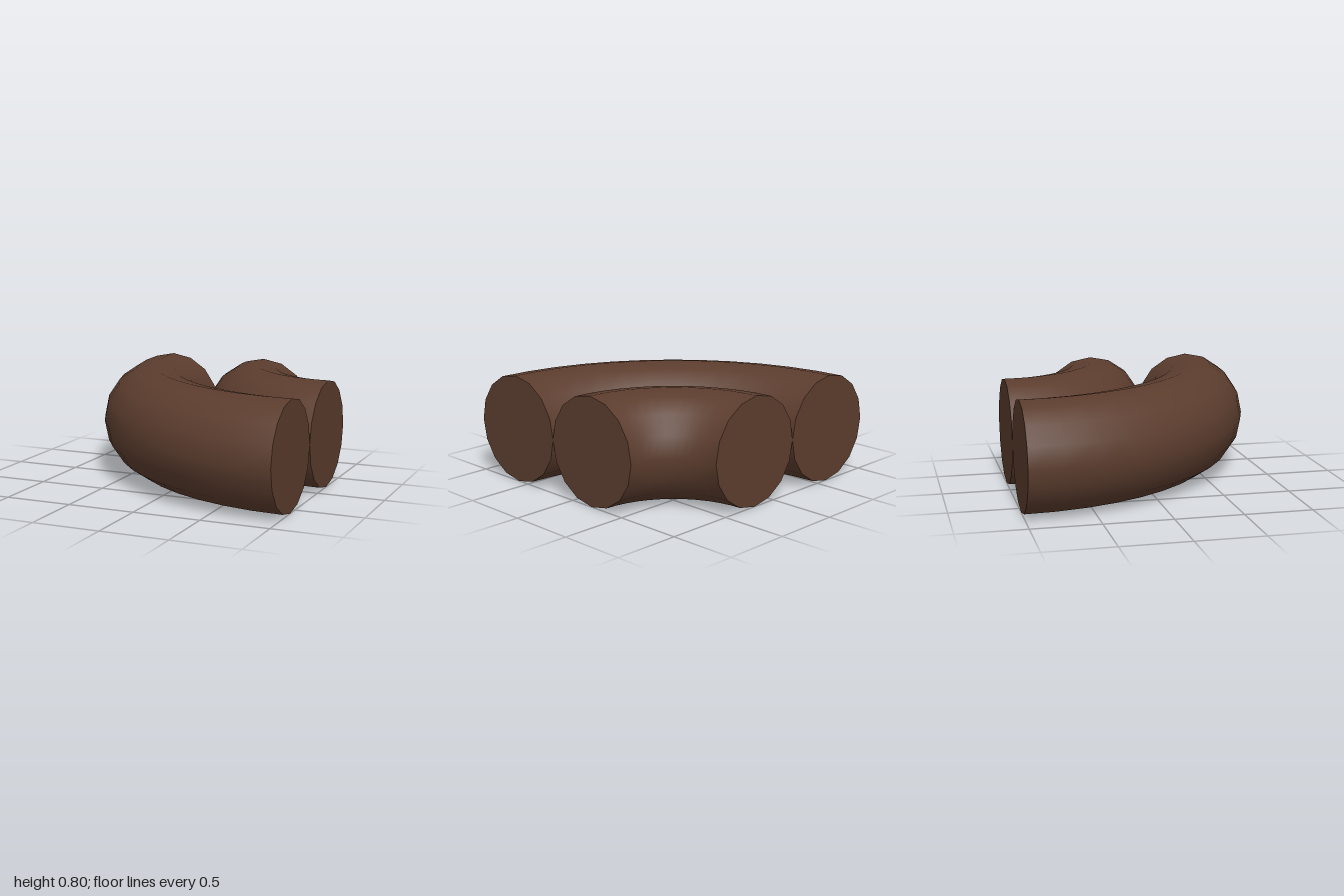
import * as THREE from 'three';

const TUBE = 0.4, SIDES = 16, STEPS = 12;

export function createModel() {
  const model = new THREE.Group();
  model.name = 'nestedBends';
  const brown = new THREE.MeshStandardMaterial({ color: 0x5c3d2e });
  brown.name = 'brown';

  // Quarter-ring pipe bend around the local origin, closed by flat ends
  function bend(name, radius) {
    const group = new THREE.Group();
    group.name = name;
    const add = (part, geometry) => {
      const mesh = new THREE.Mesh(geometry, brown);
      mesh.name = part;
      group.add(mesh);
    };
    add('tube', new THREE.TorusGeometry(radius, TUBE, SIDES, STEPS, Math.PI / 2)
      .rotateZ(Math.PI / 2).rotateX(Math.PI / 2));
    add('leftEnd', new THREE.CircleGeometry(TUBE, SIDES)
      .rotateY(Math.PI / 2).translate(0, 0, radius));
    add('backEnd', new THREE.CircleGeometry(TUBE, SIDES)
      .rotateY(Math.PI).translate(-radius, 0, 0));
    group.position.set(1, TUBE, -1);
    model.add(group);
  }

  // Two concentric bends that touch along their shared edge
  bend('outerBend', 1.6);
  bend('innerBend', 0.8);
  return model;
}
